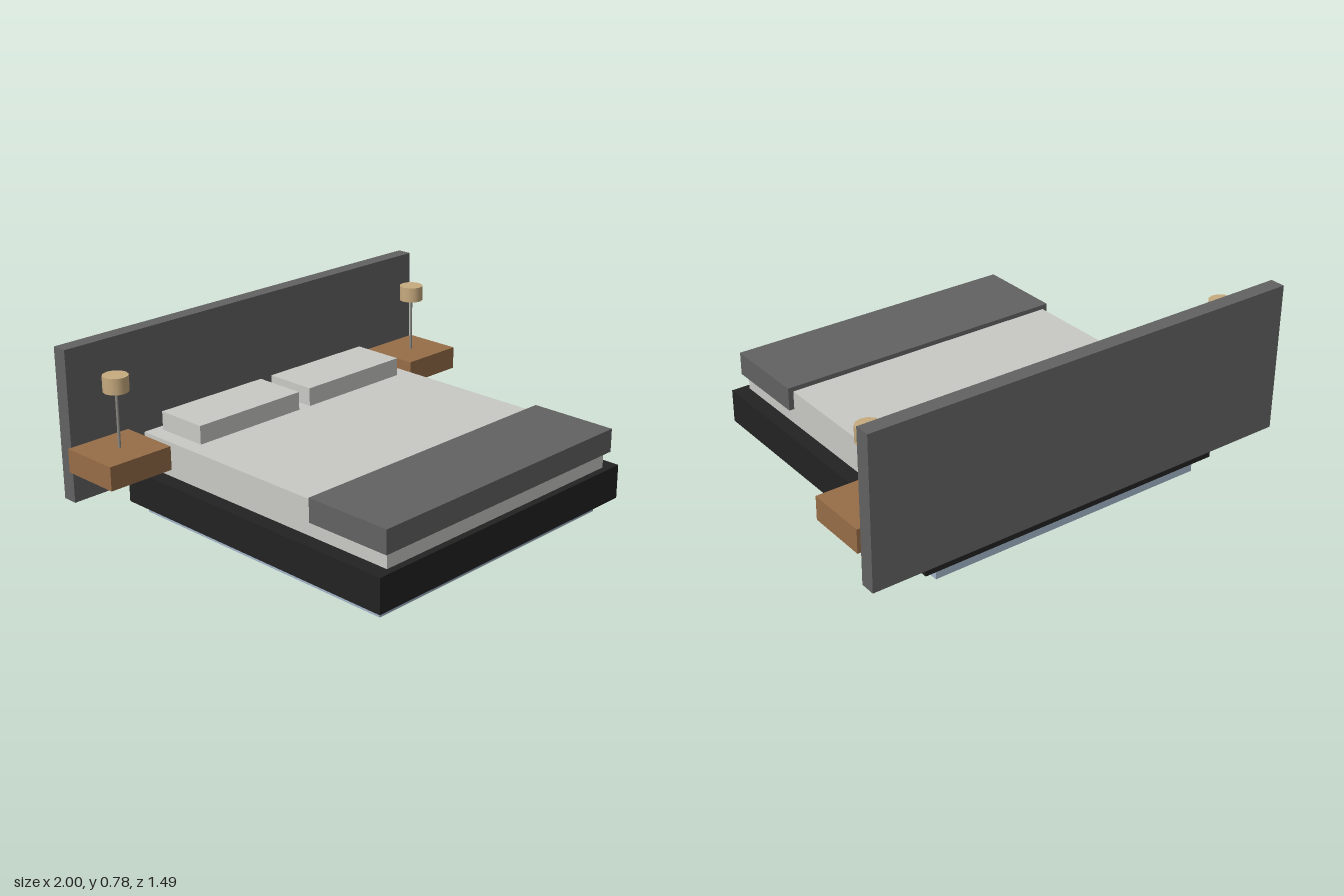
import * as THREE from 'three';

const mat = (name, color) => {
  const m = new THREE.MeshStandardMaterial({ color });
  m.name = name;
  return m;
};

export function createModel() {
  const model = new THREE.Group();
  model.name = 'bed';

  const black = mat('blackFrame', 0x222222);
  const grey = mat('greyFabric', 0x626262);
  const linen = mat('paleLinen', 0xc9cac5);
  const wood = mat('wood', 0x976d47);
  const blue = mat('blueGlow', 0xa3b5c9);
  const shadeTan = mat('lampShade', 0xc8ab7f);
  const metal = mat('lampMetal', 0x8c8a84);

  const add = (name, geometry, material, x, y, z) => {
    const mesh = new THREE.Mesh(geometry, material);
    mesh.name = name;
    mesh.position.set(x, y, z);
    model.add(mesh);
  };

  // Box given by its extents on each axis
  const box = (name, material, [x0, x1], [y0, y1], [z0, z1]) =>
    add(name, new THREE.BoxGeometry(x1 - x0, y1 - y0, z1 - z0), material,
      (x0 + x1) / 2, (y0 + y1) / 2, (z0 + z1) / 2);

  // Bed body
  box('underLight', blue, [-0.645, 0.645], [0, 0.044], [-0.647, 0.682]);
  box('frame', black, [-0.713, 0.713], [0.06, 0.208], [-0.68, 0.747]);
  box('mattress', linen, [-0.645, 0.645], [0.208, 0.358], [-0.647, 0.717]);
  box('throwBlanket', grey, [-0.668, 0.668], [0.277, 0.378], [0.342, 0.736]);
  box('headboard', grey, [-0.985, 0.985], [0.14, 0.785], [-0.747, -0.68]);

  // Mirrored pillows, nightstands and lamps
  for (const s of [-1, 1]) {
    const side = s > 0 ? 'left' : 'right';
    const span = (a, b) => (s > 0 ? [a, b] : [-b, -a]);
    box(side + 'Pillow', linen, span(0.031, 0.576), [0.35, 0.438], [-0.613, -0.375]);
    box(side + 'Nightstand', wood, span(0.702, 1), [0.277, 0.378], [-0.68, -0.41]);
    add(side + 'LampPole', new THREE.CylinderGeometry(0.006, 0.006, 0.245, 8), metal, s * 0.85, 0.4985, -0.545);
    add(side + 'LampShade', new THREE.CylinderGeometry(0.053, 0.053, 0.067, 12), shadeTan, s * 0.85, 0.65, -0.545);
  }

  return model;
}
